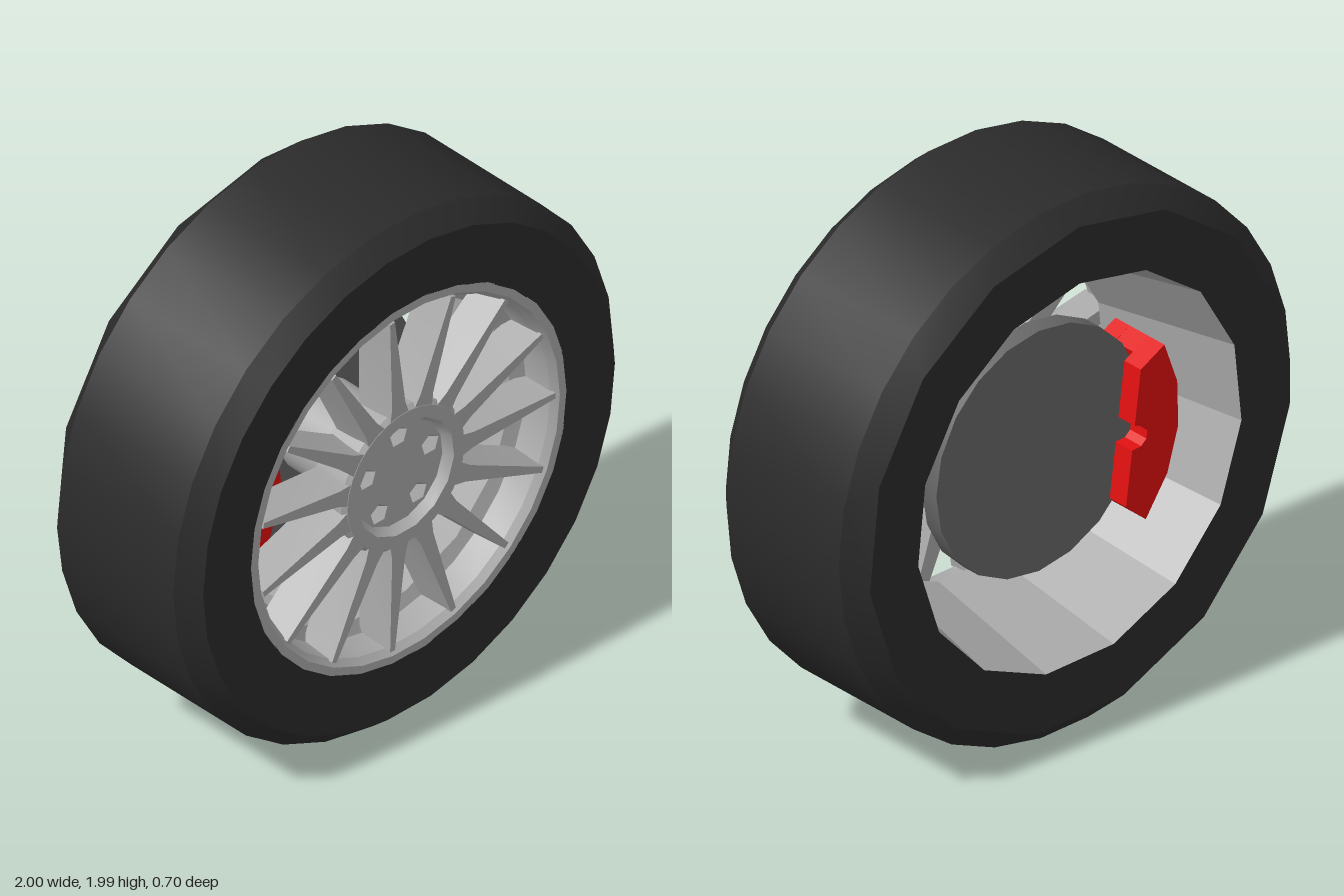
import * as THREE from 'three';
import { toCreasedNormals } from 'three/addons/utils/BufferGeometryUtils.js';

const SIDES = 30;
const mat = (color, opts = {}) => new THREE.MeshStandardMaterial({ color, ...opts });
const rubber = mat(0x2b2b2b);
const alloy = mat(0xaaaaaa);
const alloyThin = mat(0xaaaaaa, { side: THREE.DoubleSide });
const iron = mat(0x666666);
const red = mat(0xe01010);

function add(parent, name, geometry, material) {
  const mesh = new THREE.Mesh(geometry, material);
  mesh.name = name;
  parent.add(mesh);
  return mesh;
}

// Turned surface about z from [radius, z, coarse] rings; a coarse ring has half the sides
function turned(rings, crease) {
  const point = ([r, z, coarse], i) => {
    i %= SIDES;
    const step = coarse ? (i % 2 ? i + 0.5 : i - 0.5) : i;
    const a = step * Math.PI * 2 / SIDES;
    return new THREE.Vector3(r * Math.cos(a), r * Math.sin(a), z);
  };
  const positions = [];
  const triangle = (...p) => {
    const distinct = p.every((v, k) => v.distanceTo(p[(k + 1) % 3]) > 1e-5);
    if (distinct) p.forEach(v => positions.push(v.x, v.y, v.z));
  };
  for (let j = 0; j < rings.length - 1; j++) {
    for (let i = 0; i < SIDES; i++) {
      const a = point(rings[j], i), b = point(rings[j], i + 1);
      const c = point(rings[j + 1], i + 1), d = point(rings[j + 1], i);
      triangle(a, b, c);
      triangle(a, c, d);
    }
  }
  const geometry = new THREE.BufferGeometry();
  geometry.setAttribute('position', new THREE.Float32BufferAttribute(positions, 3));
  geometry.computeVertexNormals();
  return toCreasedNormals(geometry, crease);
}

// Tapered spoke along +x: narrow ridge in front, wider behind
function spokeGeometry() {
  // radius, front z, front half width, back z, back half width
  const sections = [
    [0.24, 0.333, 0.046, 0.19, 0.05],
    [0.31, 0.335, 0.030, 0.19, 0.042],
    [0.67, 0.345, 0.011, 0.21, 0.022],
  ];
  const geometry = new THREE.BoxGeometry(2, 2, 2, 2, 1, 1);
  const p = geometry.attributes.position;
  for (let i = 0; i < p.count; i++) {
    const [r, zf, wf, zb, wb] = sections[Math.round(p.getX(i)) + 1];
    const front = p.getZ(i) > 0;
    p.setXYZ(i, r, p.getY(i) * (front ? wf : wb), front ? zf : zb);
  }
  return toCreasedNormals(geometry, 0.2);
}

// Flat plate extruded between two z values
function plate(points, z0, z1) {
  const shape = new THREE.Shape(points.map(([x, y]) => new THREE.Vector2(x, y)));
  return new THREE.ExtrudeGeometry(shape, { depth: z1 - z0, bevelEnabled: false }).translate(0, 0, z0);
}

function arc(r, from, to, steps) {
  return Array.from({ length: steps + 1 }, (_, i) => {
    const a = THREE.MathUtils.degToRad(from + (to - from) * i / steps);
    return [r * Math.cos(a), r * Math.sin(a)];
  });
}

function createHub() {
  const hub = new THREE.Group();
  hub.name = 'hub';
  add(hub, 'hubBody', turned([
    [0.17, -0.09], [0.17, 0.15], [0.275, 0.18], [0.28, 0.32],
    [0.265, 0.335], [0.22, 0.335, true], [0.2, 0.3, true],
  ], 0.4), alloy);

  // Recessed centre with five lug pockets
  const centre = new THREE.Shape(arc(0.2, 18, 354, 14).map(([x, y]) => new THREE.Vector2(x, y)));
  for (let k = 0; k < 5; k++) {
    const a = Math.PI / 2 + k * Math.PI * 2 / 5;
    const x = 0.15 * Math.cos(a), y = 0.15 * Math.sin(a);
    centre.holes.push(new THREE.Path(
      arc(0.04, 90, 378, 4).map(([px, py]) => new THREE.Vector2(x + px, y + py))));
    const pocket = new THREE.ConeGeometry(0.04, 0.06, 5, 1, true).toNonIndexed();
    pocket.computeVertexNormals();
    pocket.rotateX(-Math.PI / 2).translate(x, y, 0.27);
    add(hub, 'lugPocket', pocket, alloyThin);
  }
  add(hub, 'hubCentre', new THREE.ShapeGeometry(centre).translate(0, 0, 0.3), alloyThin);
  return hub;
}

function createCaliper() {
  const caliper = new THREE.Group();
  caliper.name = 'brakeCaliper';
  const outer = arc(0.54, -36, 36, 4);
  // Rear half with a rounded notch in its inner edge
  add(caliper, 'rearHalf', plate([
    ...outer, [0.34, 0.25], [0.34, 0.045], [0.38, 0.038], [0.4, 0.015],
    [0.4, -0.015], [0.38, -0.038], [0.34, -0.045], [0.34, -0.25],
  ], -0.24, -0.16), red);
  // Front half reaches further in over the disc
  add(caliper, 'frontHalf', plate([
    ...outer, [0.34, 0.25], [0.28, 0.13], [0.28, -0.13], [0.34, -0.25],
  ], -0.07, 0), red);
  add(caliper, 'bridge', plate([...outer, ...arc(0.465, 36, -36, 4)], -0.2, -0.03), red);
  add(caliper, 'pistonBoss', plate([
    [0.27, -0.06], [0.44, -0.06], [0.47, -0.03], [0.47, 0.03], [0.44, 0.06], [0.27, 0.06],
  ], -0.02, 0.02), red);
  caliper.rotation.z = THREE.MathUtils.degToRad(187.5);
  return caliper;
}

export function createModel() {
  const wheel = new THREE.Group();
  wheel.name = 'wheel';

  add(wheel, 'tyre', turned([
    [0.72, -0.35, true], [0.935, -0.35, true], [1, -0.275],
    [1, 0.275], [0.935, 0.35], [0.715, 0.35],
  ], 0.5), rubber);

  // Rim lip in front, faceted barrel behind
  add(wheel, 'rimLip', turned([
    [0.72, 0.345], [0.718, 0.35], [0.685, 0.35], [0.665, 0.325], [0.655, 0.22], [0.61, 0.2, true],
  ], 0.4), alloy);
  add(wheel, 'rimBarrel', turned([[0.61, 0.2, true], [0.72, -0.35, true]], 0.1), alloyThin);

  const spoke = spokeGeometry();
  for (let k = 0; k < 15; k++) {
    add(wheel, 'spoke', spoke, alloy).rotation.z = k * Math.PI * 2 / 15;
  }

  wheel.add(createHub());

  const disc = new THREE.CylinderGeometry(0.455, 0.455, 0.07, 20).rotateX(Math.PI / 2);
  add(wheel, 'brakeDisc', toCreasedNormals(disc, 0.5), iron).position.z = -0.115;

  wheel.add(createCaliper());

  wheel.position.y = 0.995;
  const model = new THREE.Group();
  model.name = 'carWheel';
  model.add(wheel);
  return model;
}
